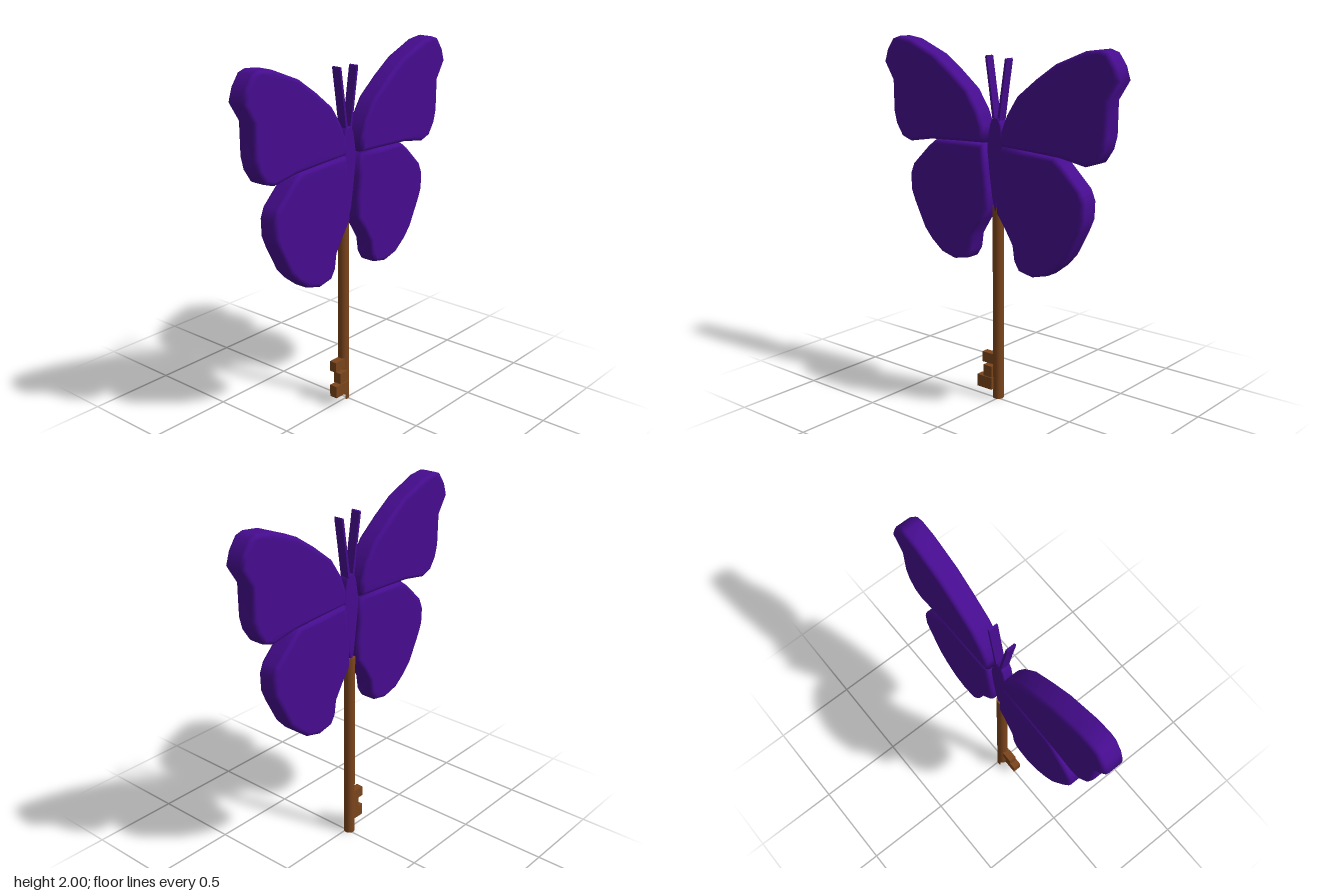
import * as THREE from 'three';
import { mergeVertices } from 'three/addons/utils/BufferGeometryUtils.js';

const purple = new THREE.MeshStandardMaterial({ color: 0x460c8f });
const brown = new THREE.MeshStandardMaterial({ color: 0x7b451c, side: THREE.DoubleSide });

const UPPER = [
  [0.06, 1.455], [0.25, 1.447], [0.445, 1.437], [0.6, 1.41], [0.665, 1.432], [0.71, 1.5], [0.728, 1.57],
  [0.73, 1.745], [0.793, 1.845], [0.77, 1.915], [0.725, 1.978], [0.68, 1.992], [0.59, 1.98],
  [0.41, 1.907], [0.29, 1.825], [0.17, 1.73], [0.1, 1.625], [0.064, 1.54]];
const LOWER = [
  [0.032, 1.2], [0.032, 1.09], [0.09, 1.01], [0.14, 0.93], [0.153, 0.845], [0.185, 0.795], [0.275, 0.777],
  [0.37, 0.802], [0.445, 0.86], [0.5, 0.92], [0.575, 1.065], [0.602, 1.13], [0.605, 1.225],
  [0.58, 1.285], [0.46, 1.4], [0.41, 1.437], [0.22, 1.446], [0.062, 1.448], [0.05, 1.32]];
const BODY = [
  [-0.005, 1.09], [0.018, 1.16], [0.04, 1.3], [0.055, 1.43], [0.05, 1.48], [0.035, 1.56], [0.018, 1.6],
  [-0.022, 1.6], [-0.04, 1.56], [-0.055, 1.48], [-0.06, 1.43], [-0.045, 1.3], [-0.025, 1.16]];

// Closed outline extruded between z0 and z1, edges rounded inward by the bevel
function slab(points, z0, z1, bevel) {
  const shape = new THREE.Shape(points.map(([x, y]) => new THREE.Vector2(x, y)));
  const geo = new THREE.ExtrudeGeometry(shape, {
    depth: z1 - z0 - 2 * bevel, bevelEnabled: bevel > 0, bevelThickness: bevel,
    bevelSize: bevel, bevelOffset: -bevel, bevelSegments: 3, steps: 1 });
  return geo.translate(0, 0, z0 + bevel);
}

// Share vertices so the shading flows over the rounded edges
function smooth(geo) {
  geo.deleteAttribute('uv');
  geo.deleteAttribute('normal');
  const merged = mergeVertices(geo, 1e-4);
  merged.computeVertexNormals();
  return merged;
}

export function createModel() {
  const model = new THREE.Group();
  const add = (name, geo, mat) => {
    const mesh = new THREE.Mesh(geo, mat);
    mesh.name = name;
    model.add(mesh);
    return mesh;
  };

  // Wings and antennae, mirrored
  for (const side of [1, -1]) {
    const label = side > 0 ? 'left' : 'right';
    const lift = side > 0 ? 0 : 0.008;
    const mirror = (pts) => pts.map(([x, y]) => [side * x, y + lift]);
    add(label + 'UpperWing', smooth(slab(mirror(UPPER), -0.06, 0.06, 0.022)), purple);
    add(label + 'LowerWing', smooth(slab(mirror(LOWER), -0.06, 0.06, 0.022)), purple);
    add(label + 'Antenna', slab(mirror([
      [0.006, 1.57], [0.022, 1.57], [0.05, 1.76], [0.073, 1.905], [0.07, 1.915], [0.061, 1.912], [0.04, 1.78]]),
      -0.035, 0.017, 0), purple);
  }

  // Body
  add('body', smooth(slab(BODY, -0.036, 0.022, 0.008)), purple);

  // Key shaft, with a cut-away tube at its tip
  const r = 0.031, cx = -0.009, cz = -0.015;
  add('shaft', new THREE.CylinderGeometry(r, r, 1.07, 24), brown).position.set(cx, 0.585, cz);
  add('shaftTip', new THREE.CylinderGeometry(r, r, 0.05, 24, 1, true, Math.PI * 11 / 6, Math.PI * 4 / 3), brown)
    .position.set(cx, 0.025, cz);

  // Key teeth: x0, x1, y0, y1, z0, z1
  [[-0.125, -0.02, 0.055, 0.125, -0.015, 0.033],
    [-0.085, -0.025, 0.125, 0.19, -0.02, 0.026],
    [-0.105, -0.02, 0.2, 0.26, -0.032, 0.01]].forEach(([x0, x1, y0, y1, z0, z1], i) => {
    add('tooth' + (i + 1), new THREE.BoxGeometry(x1 - x0, y1 - y0, z1 - z0), brown)
      .position.set((x0 + x1) / 2, (y0 + y1) / 2, (z0 + z1) / 2);
  });

  return model;
}
